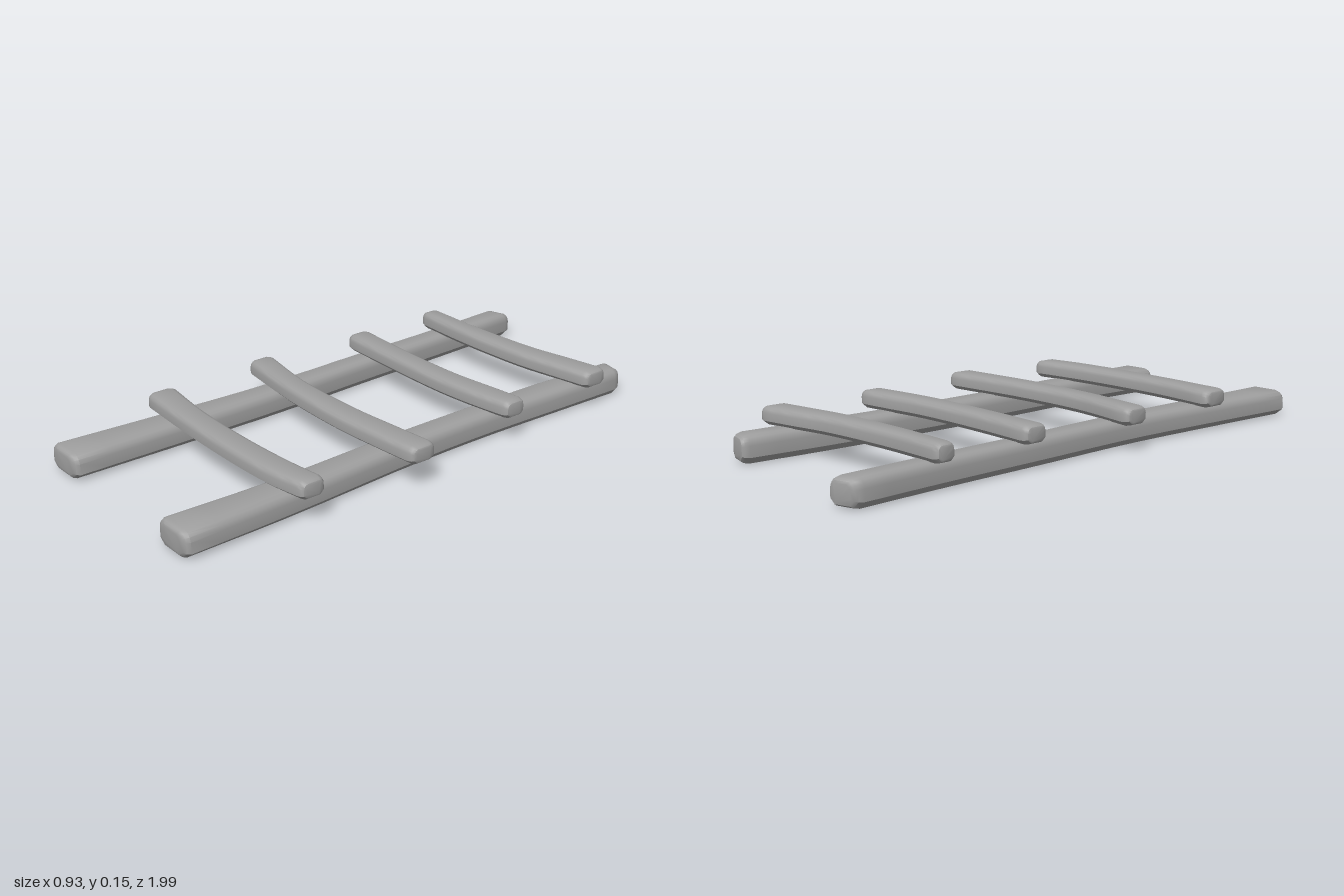
import * as THREE from 'three';
import { toCreasedNormals } from 'three/addons/utils/BufferGeometryUtils.js';

// Hewn-wood cross-section: u = side (-1..1), v = height (0..1); chamfered below, rounded above
const HALF = [[0.64, 0], [1, 0.24], [1, 0.66], [0.93, 0.82], [0.8, 0.93], [0.58, 1]];
const SECTION = [...HALF, ...HALF.map(([u, v]) => [-u, v]).reverse()];

// Worn end: [distance from the tip as a share of the bevel, scale of the section]
const END = [[0, 0.6], [0.1, 0.78], [0.4, 0.91]];

// Loft a beam through stations [position, lowEdge, highEdge], with worn ends.
// bevel = [start, end] lengths, tilt = slant of the start end.
function beam(stations, y0, height, bevel, tilt = 0) {
  const curve = new THREE.CatmullRomCurve3(stations.map(s => new THREE.Vector3(...s)));
  const rings = [];
  const N = 16;
  const t0 = stations[0][0], t1 = stations[stations.length - 1][0];
  for (let i = 0; i <= N; i++) {
    const p = curve.getPoint(i / N);
    const k = (p.x - t0) / (t1 - t0);
    const t = THREE.MathUtils.lerp(t0 + bevel[0], t1 - bevel[1], k);
    rings.push({ t, c: (p.y + p.z) / 2, w: (p.z - p.y) / 2, s: 1, tilt: i === 0 ? tilt : 0 });
  }
  const first = rings[0], final = rings[N];
  rings.unshift(...END.map(([d, s]) => ({ ...first, t: t0 + d * bevel[0], s })));
  rings.push(...END.map(([d, s]) => ({ ...final, t: t1 - d * bevel[1], s })).reverse());

  const pos = [], idx = [], n = SECTION.length;
  for (const r of rings) {
    for (const [u, v] of SECTION) {
      pos.push(r.c + u * r.w * r.s, y0 + height * (0.5 + (v - 0.5) * r.s), r.t + r.tilt * u * r.w * r.s);
    }
  }
  for (let j = 0; j < rings.length - 1; j++) {
    for (let i = 0; i < n; i++) {
      const a = j * n + i, b = j * n + (i + 1) % n;
      idx.push(a, b, b + n, a, b + n, a + n);
    }
  }
  // End caps
  const last = (rings.length - 1) * n;
  for (let i = 1; i < n - 1; i++) {
    idx.push(0, i + 1, i, last, last + i, last + i + 1);
  }
  const g = new THREE.BufferGeometry();
  g.setAttribute('position', new THREE.Float32BufferAttribute(pos, 3));
  g.setIndex(idx);
  return toCreasedNormals(g, 0.6);
}

export function createModel() {
  const group = new THREE.Group();
  const wood = new THREE.MeshStandardMaterial({ color: 0x9e9e9e });
  const add = (name, geometry) => {
    const mesh = new THREE.Mesh(geometry, wood);
    mesh.name = name;
    group.add(mesh);
  };

  // Long side rails: stations are [z, xMin, xMax]
  add('rightRail', beam([
    [-0.99, -0.426, -0.325], [-0.65, -0.41, -0.31], [-0.25, -0.4, -0.297],
    [0.2, -0.387, -0.275], [0.63, -0.405, -0.27], [0.995, -0.427, -0.268],
  ], 0.002, 0.09, [0.03, 0.02], -0.3));
  add('leftRail', beam([
    [-0.906, 0.247, 0.352], [-0.6, 0.226, 0.342], [-0.25, 0.22, 0.33],
    [0.1, 0.22, 0.335], [0.6, 0.235, 0.365], [0.995, 0.222, 0.377],
  ], 0, 0.092, [0.03, 0.02], 0.25));

  // Bent rungs lying on the rails: stations are [x, zMin, zMax]
  const rungs = [
    [[-0.445, -0.7, -0.625], [-0.2, -0.695, -0.612], [0.1, -0.71, -0.615], [0.25, -0.735, -0.632], [0.397, -0.757, -0.652]],
    [[-0.442, -0.345, -0.25], [-0.2, -0.327, -0.238], [0.1, -0.322, -0.23], [0.28, -0.338, -0.24], [0.402, -0.347, -0.255]],
    [[-0.467, 0.085, 0.185], [-0.2, 0.13, 0.218], [0.1, 0.137, 0.233], [0.3, 0.125, 0.227], [0.464, 0.113, 0.217]],
    [[-0.447, 0.51, 0.62], [-0.2, 0.54, 0.636], [0.1, 0.548, 0.645], [0.3, 0.54, 0.64], [0.433, 0.528, 0.622]],
  ];
  rungs.forEach((rung, i) => {
    // Built along z, then turned a quarter so that it runs along x
    const turned = rung.map(([x, z0, z1]) => [x, -z1, -z0]);
    const g = beam(turned, 0.09, 0.062, [0.025, 0.025]);
    add('rung' + (i + 1), g.rotateY(Math.PI / 2));
  });
  return group;
}
